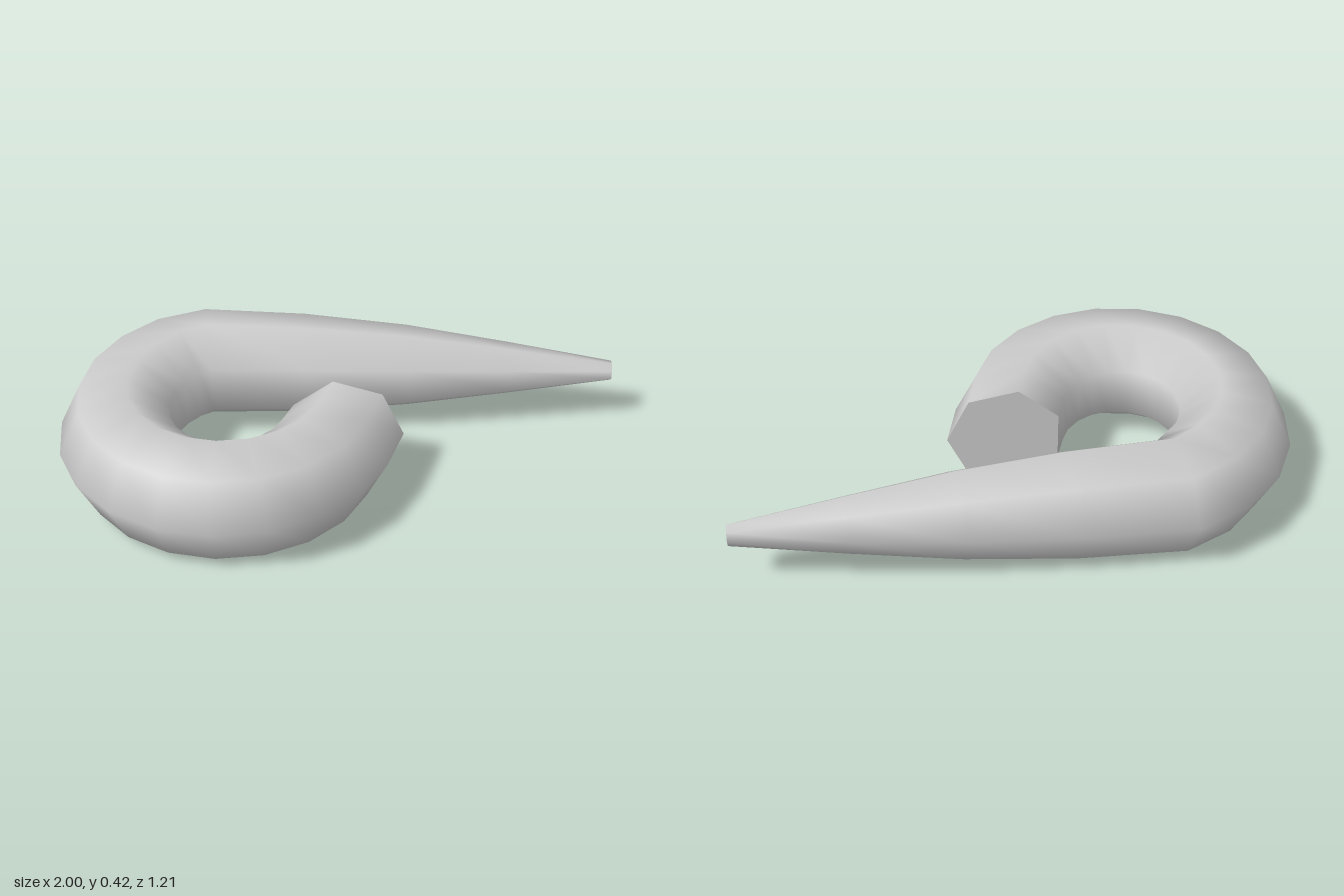
import * as THREE from 'three';

const SIDES = 7;
const material = new THREE.MeshStandardMaterial({ color: 0xcccccc });

// Stations along the horn: centre x, y, z, radius and outward angle in the ground plane (degrees)
function stations() {
  const list = [[0.022, 0.207, -0.016, 0.208, 4.3]];
  for (let i = 1; i <= 13; i++) {
    const deg = -1 + 18.1 * i, a = THREE.MathUtils.degToRad(deg);
    const drift = Math.max(0, i - 9) / 4; // the coil opens slightly before the straight part
    list.push([
      -0.397 + 0.395 * Math.cos(a), 0.207 + 0.011 * drift,
      0.395 * Math.sin(a) - 0.018 * drift, 0.208, deg,
    ]);
  }
  // Straight tapering part
  list.push(
    [-0.513, 0.218, -0.405, 0.203, 259.6],
    [-0.144, 0.219, -0.411, 0.191, 262.5],
    [0.236, 0.22, -0.416, 0.156, 264.5],
    [0.61, 0.22, -0.42, 0.1, 266],
    [1, 0.22, -0.423, 0.037, 270],
  );
  return list;
}

// Corners of one seven-sided cross-section, first corner pointing outward
function crossSection([x, y, z, r, deg]) {
  const a = THREE.MathUtils.degToRad(deg);
  return Array.from({ length: SIDES }, (_, j) => {
    const p = (j / SIDES) * Math.PI * 2;
    const out = r * Math.cos(p);
    return [x + out * Math.cos(a), y + r * Math.sin(p), z + out * Math.sin(a)];
  });
}

function makeMesh(name, points, index) {
  const geometry = new THREE.BufferGeometry();
  geometry.setAttribute('position', new THREE.Float32BufferAttribute(points.flat(), 3));
  geometry.setIndex(index);
  geometry.computeVertexNormals();
  const mesh = new THREE.Mesh(geometry, material);
  mesh.name = name;
  return mesh;
}

// Flat end, as a triangle fan
function makeCap(name, corners) {
  const index = [];
  for (let j = 1; j < SIDES - 1; j++) index.push(0, j, j + 1);
  return makeMesh(name, corners, index);
}

export function createModel() {
  const group = new THREE.Group();
  group.name = 'curledHorn';
  const sections = stations().map(crossSection);

  // Smooth skin joining the cross-sections
  const index = [];
  for (let i = 0; i < sections.length - 1; i++) {
    for (let j = 0; j < SIDES; j++) {
      const k = (j + 1) % SIDES;
      const a = i * SIDES + j, b = i * SIDES + k;
      index.push(a, b, b + SIDES, a, b + SIDES, a + SIDES);
    }
  }
  group.add(makeMesh('coiledBody', sections.flat(), index));

  // Flat ends
  group.add(makeCap('wideEnd', [...sections[0]].reverse()));
  group.add(makeCap('narrowTip', sections[sections.length - 1]));
  return group;
}
